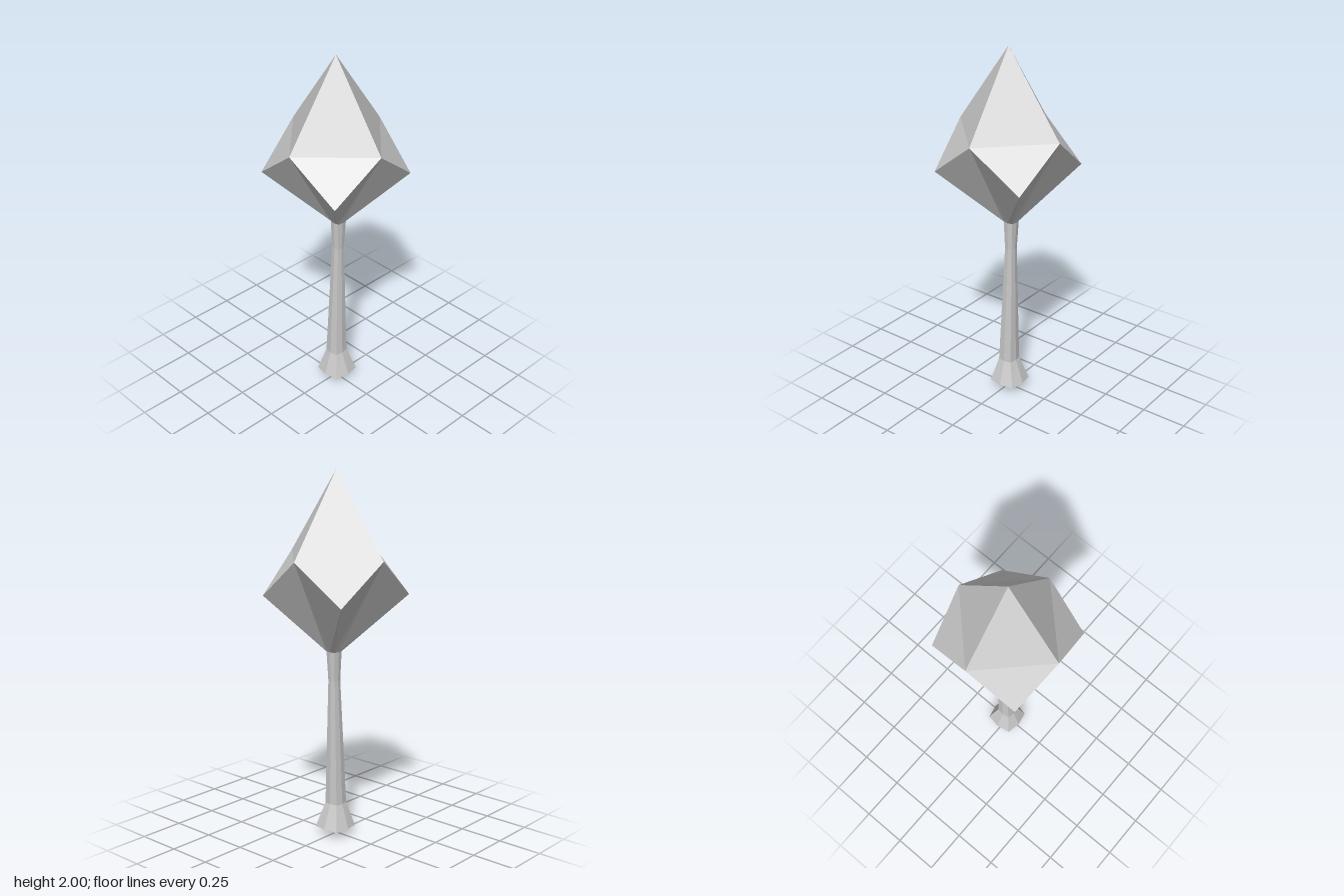
import * as THREE from 'three';

const material = new THREE.MeshStandardMaterial({
  color: 0xcccccc, flatShading: true, side: THREE.DoubleSide,
});

// Eight-point ring: even points lie on the axes, odd points on the diagonals.
function ring(axisY, axisR, diagonalY, diagonalXZ, cx = 0) {
  return Array.from({ length: 8 }, (_, i) => {
    const a = (i * Math.PI) / 4;
    const r = i % 2 ? diagonalXZ * Math.SQRT2 : axisR;
    return [cx + r * Math.sin(a), i % 2 ? diagonalY : axisY, r * Math.cos(a)];
  });
}

const level = (y, r, cx) => ring(y, r, y, r * 0.84, cx);

// Side triangles between neighbouring rings, ordered from low to high.
function loft(rings) {
  const tris = [];
  for (let k = 0; k < rings.length - 1; k++) {
    const lo = rings[k], hi = rings[k + 1];
    for (let i = 0; i < 8; i++) {
      const j = (i + 1) % 8;
      tris.push(lo[i], lo[j], hi[j], lo[i], hi[j], hi[i]);
    }
  }
  return tris;
}

function part(name, points) {
  const geometry = new THREE.BufferGeometry();
  geometry.setAttribute('position', new THREE.Float32BufferAttribute(points.flat(), 3));
  geometry.computeVertexNormals();
  const mesh = new THREE.Mesh(geometry, material);
  mesh.name = name;
  return mesh;
}

export function createModel() {
  const group = new THREE.Group();
  group.name = 'crystalMace';

  const base = ring(0.046, 0.092, 0.041, 0.077, 0.008);
  const ankle = level(0.18, 0.048, 0.004);
  const neck = level(0.88, 0.027, 0.016);
  const collar = level(1.04, 0.034, 0.018);
  const crown = ring(1.553, 0.32, 1.343, 0.273);

  // Flared pommel with a shallow pointed underside
  const pommel = loft([base, ankle]);
  for (let i = 0; i < 8; i++) pommel.push(base[(i + 1) % 8], base[i], [0.007, 0, 0]);
  group.add(part('pommel', pommel));

  // Tapered, slightly leaning shaft
  group.add(part('shaft', loft([ankle, neck, collar])));

  // Faceted head: lower facets, then four kites rising to the tip
  const head = loft([collar, crown]);
  for (let i = 0; i < 8; i += 2) {
    const a = crown[i], d = crown[i + 1], b = crown[(i + 2) % 8];
    head.push(a, b, [0, 2, 0], a, d, b);
  }
  group.add(part('crystalHead', head));

  return group;
}
